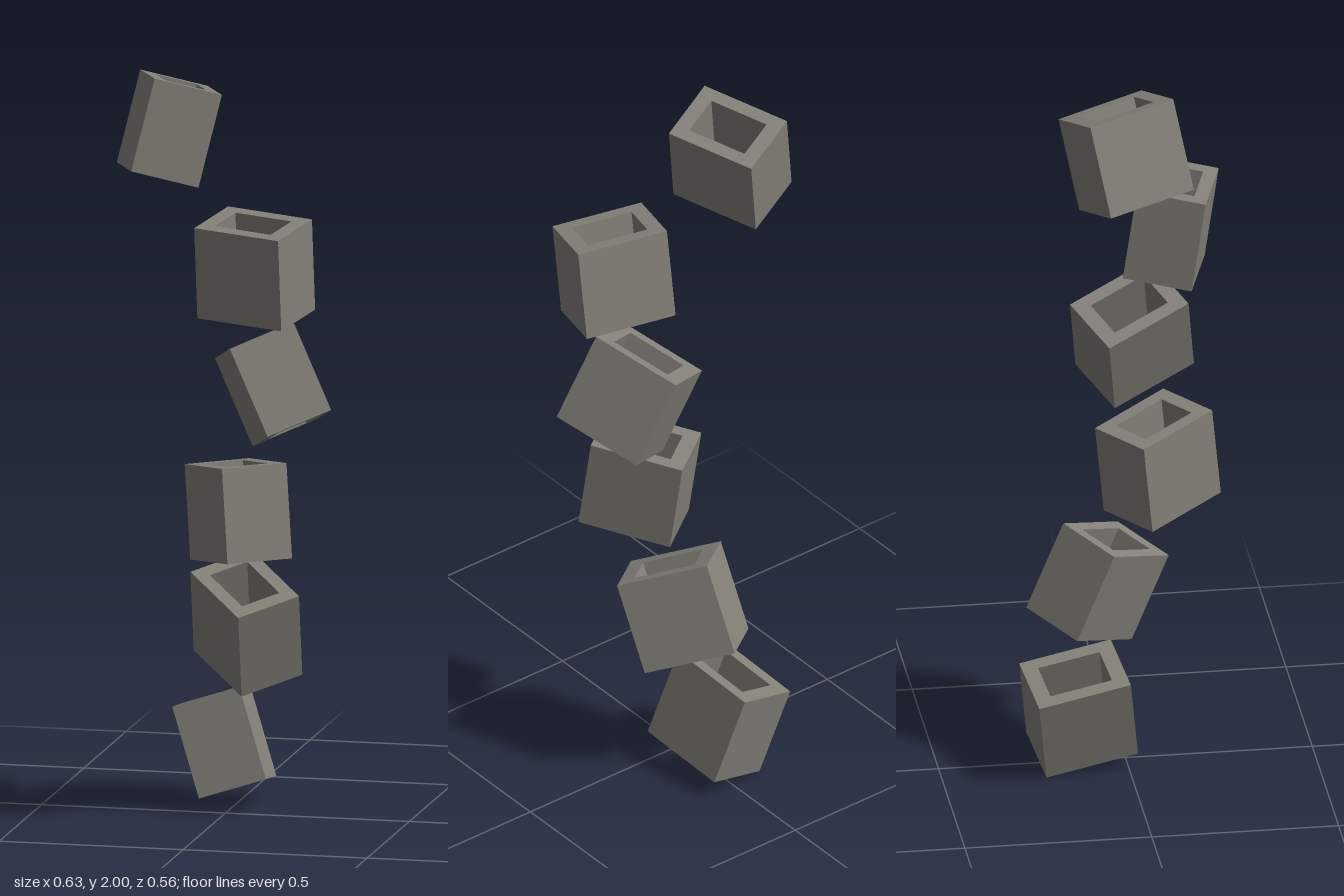
import * as THREE from 'three';

const WIDTH = 0.186, HEIGHT = 0.254, LENGTH = 0.254;
const SIDE_WALL = 0.036, END_WALL = 0.042;

// Centre, direction of the open axis, direction of the long side; bottom to top
const BLOCKS = [
  { at: [-0.033, 0.169, -0.13], up: [-0.079, 0.238, -0.03], along: [0.03, 0.037, 0.249] },
  { at: [0.041, 0.503, -0.069], up: [0.014, 0.23, 0.1], along: [0.17, -0.08, 0.172] },
  { at: [0.057, 0.839, 0.095], up: [-0.021, 0.249, -0.026], along: [0.153, 0.033, 0.21] },
  { at: [0.138, 1.175, 0.037], up: [-0.11, 0.228, -0.03], along: [0.093, 0.075, 0.227] },
  { at: [0.111, 1.505, 0.137], up: [0, 0.249, 0.037], along: [0.245, -0.01, 0.07] },
  { at: [-0.157, 1.841, -0.02], up: [0.053, 0.245, -0.048], along: [0.093, 0.026, 0.234] },
];

// Rectangle outline centred on the origin
function rectangle(target, w, l) {
  target.moveTo(-w / 2, -l / 2);
  target.lineTo(w / 2, -l / 2);
  target.lineTo(w / 2, l / 2);
  target.lineTo(-w / 2, l / 2);
  target.closePath();
  return target;
}

// Hollow block, open at top and bottom
function blockGeometry() {
  const shape = rectangle(new THREE.Shape(), WIDTH, LENGTH);
  shape.holes.push(rectangle(new THREE.Path(), WIDTH - 2 * SIDE_WALL, LENGTH - 2 * END_WALL));
  const geometry = new THREE.ExtrudeGeometry(shape, { depth: HEIGHT, bevelEnabled: false });
  geometry.translate(0, 0, -HEIGHT / 2);
  geometry.rotateX(-Math.PI / 2);
  return geometry;
}

export function createModel() {
  const group = new THREE.Group();
  group.name = 'tumblingBlocks';
  const concrete = new THREE.MeshStandardMaterial({ color: 0x85827a });
  concrete.name = 'concrete grey';
  const geometry = blockGeometry();

  BLOCKS.forEach(({ at, up, along }, i) => {
    // Square up the measured directions into a rotation
    const y = new THREE.Vector3(...up).normalize();
    const x = new THREE.Vector3().crossVectors(y, new THREE.Vector3(...along)).normalize();
    const z = new THREE.Vector3().crossVectors(x, y);
    const block = new THREE.Mesh(geometry, concrete);
    block.name = `hollowBlock${i + 1}`;
    block.quaternion.setFromRotationMatrix(new THREE.Matrix4().makeBasis(x, y, z));
    block.position.set(...at);
    group.add(block);
  });
  return group;
}
